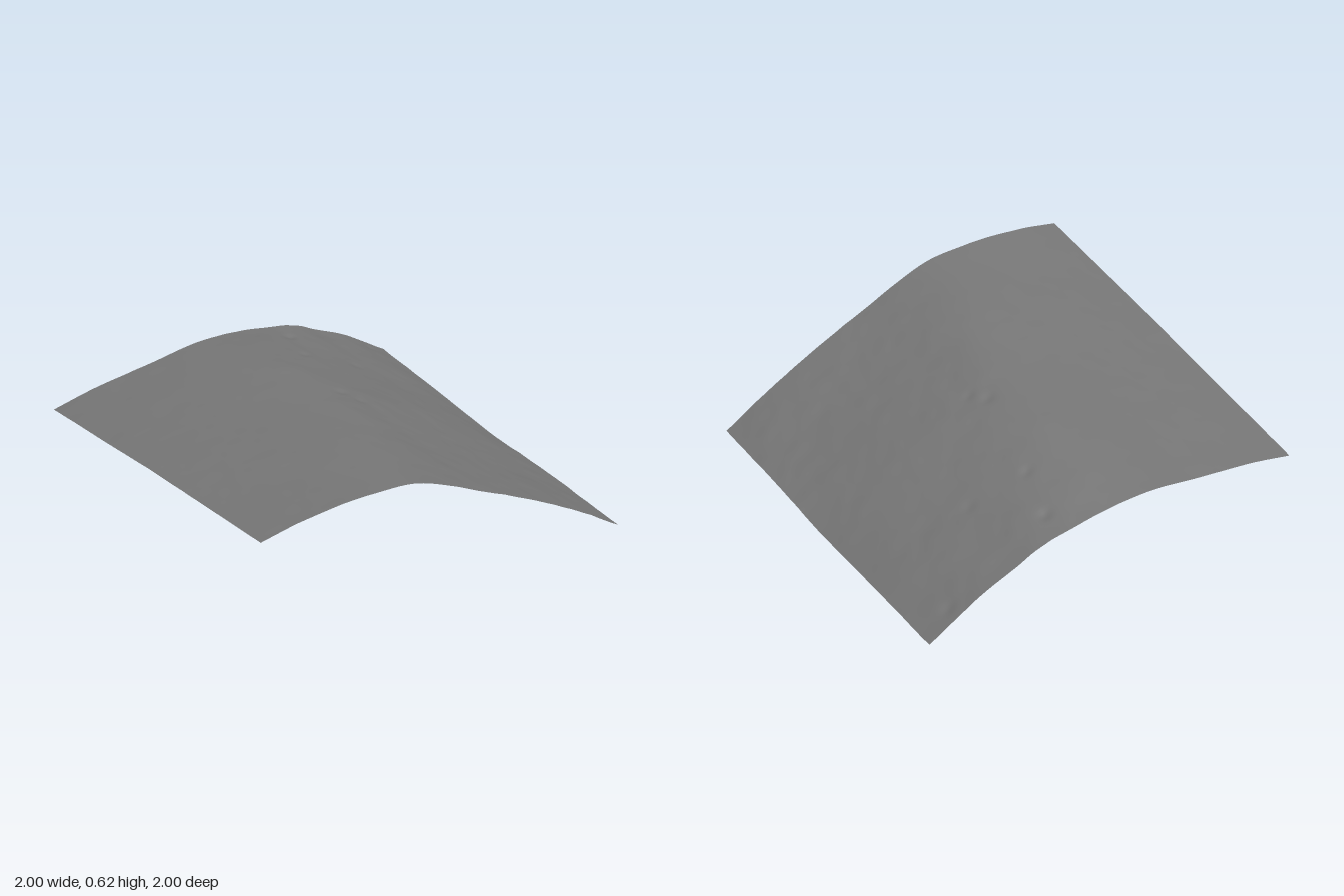
import * as THREE from 'three';

// Height profiles across x (-1 to 1), one per row from the front (z = 1) to the back (z = -1)
const profiles = [
  [0.56, 0.597, 0.615, 0.618, 0.597, 0.522, 0.43, 0.335, 0.237, 0.125, 0.0],
  [0.505, 0.54, 0.565, 0.582, 0.59, 0.54, 0.447, 0.35, 0.25, 0.14, 0.031],
  [0.45, 0.487, 0.515, 0.535, 0.553, 0.547, 0.475, 0.385, 0.285, 0.175, 0.045],
  [0.385, 0.43, 0.462, 0.492, 0.52, 0.53, 0.485, 0.405, 0.31, 0.21, 0.095],
  [0.32, 0.37, 0.405, 0.44, 0.475, 0.482, 0.465, 0.43, 0.35, 0.255, 0.135],
];

// Small pits: x, z, radius, depth
const pits = [
  [0.3, -0.85, 0.03, 0.012], [0.22, -0.58, 0.025, 0.008], [0.1, -0.06, 0.03, 0.009],
  [0.15, 0.03, 0.025, 0.007], [0.85, -0.92, 0.03, 0.008], [0.5, -0.53, 0.03, 0.006],
];

// Smooth curve through evenly spaced values, t from 0 to 1
function spline(values, t) {
  const n = values.length - 1;
  const i = Math.min(Math.floor(t * n), n - 1);
  const f = t * n - i;
  const a = values[i], b = values[i + 1];
  const before = i > 0 ? values[i - 1] : 2 * a - b;
  const after = i < n - 1 ? values[i + 2] : 2 * b - a;
  const m0 = (b - before) / 2, m1 = (after - a) / 2;
  const f2 = f * f, f3 = f2 * f;
  return (2 * f3 - 3 * f2 + 1) * a + (f3 - 2 * f2 + f) * m0
    + (3 * f2 - 2 * f3) * b + (f3 - f2) * m1;
}

// Seeded value noise, -1 to 1
function hash(i, j) {
  const s = Math.sin(i * 127.1 + j * 311.7) * 43758.5453;
  return (s - Math.floor(s)) * 2 - 1;
}
function noise(x, z) {
  const i = Math.floor(x), j = Math.floor(z);
  const u = THREE.MathUtils.smoothstep(x - i, 0, 1);
  const v = THREE.MathUtils.smoothstep(z - j, 0, 1);
  const { lerp } = THREE.MathUtils;
  return lerp(lerp(hash(i, j), hash(i + 1, j), u), lerp(hash(i, j + 1), hash(i + 1, j + 1), u), v);
}

function height(x, z) {
  const u = THREE.MathUtils.clamp((x + 1) / 2, 0, 1);
  const v = THREE.MathUtils.clamp((1 - z) / 2, 0, 1);
  let y = spline(profiles.map((row) => spline(row, u)), v);
  // Faint weathering, rougher on the steep side
  const rough = 0.4 + 0.6 * THREE.MathUtils.smoothstep(x, -0.2, 0.2);
  y += rough * (0.003 * noise(x * 7, z * 5) + 0.0018 * noise(x * 17 + 9, z * 13));
  for (const [px, pz, r, d] of pits) {
    y -= d * Math.exp(-((x - px) ** 2 + (z - pz) ** 2) / (r * r));
  }
  return y;
}

export function createModel() {
  const model = new THREE.Group();
  model.name = 'terrain';
  const rock = new THREE.MeshStandardMaterial({ color: 0x777777, side: THREE.DoubleSide });
  rock.name = 'grey rock';

  // Ridged ground sheet
  const geometry = new THREE.PlaneGeometry(2, 2, 120, 120).rotateX(-Math.PI / 2);
  const p = geometry.attributes.position;
  for (let i = 0; i < p.count; i++) p.setY(i, height(p.getX(i), p.getZ(i)));
  geometry.computeBoundingBox();
  geometry.translate(0, -geometry.boundingBox.min.y, 0);
  geometry.computeVertexNormals();

  const ground = new THREE.Mesh(geometry, rock);
  ground.name = 'ridgedGround';
  model.add(ground);
  return model;
}
